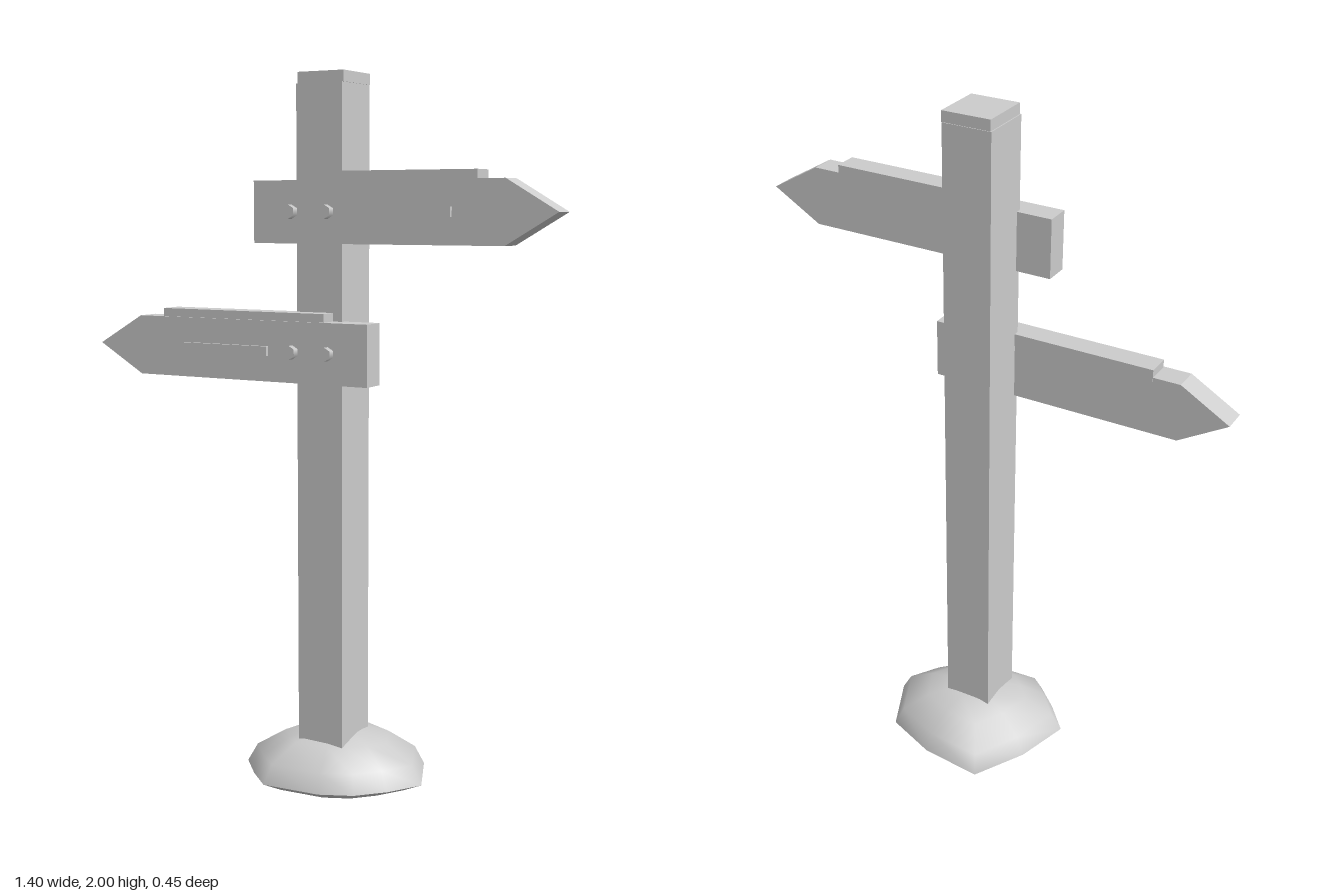
import * as THREE from 'three';

const grey = new THREE.MeshStandardMaterial({ color: 0xcccccc });
grey.name = 'plain grey';

function part(name, geometry, parent) {
  const mesh = new THREE.Mesh(geometry, grey);
  mesh.name = name;
  parent.add(mesh);
  return mesh;
}

// Box given by its minimum and maximum corners
function box(name, x0, x1, y0, y1, z0, z1, parent) {
  const mesh = part(name, new THREE.BoxGeometry(Math.abs(x1 - x0), y1 - y0, z1 - z0), parent);
  mesh.position.set((x0 + x1) / 2, (y0 + y1) / 2, (z0 + z1) / 2);
  return mesh;
}

// Irregular outline of the foot stone, x and z, seen from above
const OUTLINE = [
  [-0.13, -0.228], [0.05, -0.21], [0.2, -0.15], [0.27, 0.01], [0.21, 0.1],
  [0.14, 0.17], [0.05, 0.21], [-0.12, 0.222], [-0.19, 0.16], [-0.262, 0.08], [-0.215, -0.08],
];

// Rings of the outline, [scale, height], closed by a point at the last height
function stoneShell(rings, endY, upward) {
  const n = OUTLINE.length;
  const positions = [];
  const index = [];
  for (const [s, y] of rings) for (const [x, z] of OUTLINE) positions.push(x * s, y, z * s);
  positions.push(0, endY, 0);
  const tri = (a, b, c) => (upward ? index.push(a, c, b) : index.push(a, b, c));
  for (let r = 0; r < rings.length; r++) {
    for (let i = 0; i < n; i++) {
      const a = r * n + i;
      const b = r * n + ((i + 1) % n);
      if (r === rings.length - 1) tri(a, b, rings.length * n);
      else {
        tri(a, b, b + n);
        tri(a, b + n, a + n);
      }
    }
  }
  const geometry = new THREE.BufferGeometry();
  geometry.setAttribute('position', new THREE.Float32BufferAttribute(positions, 3));
  geometry.setIndex(index);
  geometry.computeVertexNormals();
  return geometry;
}

// Pointed board; dir is +1 or -1 for the side it points to
function makeSign(name, dir, midY) {
  const sign = new THREE.Group();
  sign.name = name;
  sign.position.y = midY;

  const outline = [[-0.174, -0.084], [0.56, -0.084], [0.702, 0], [0.56, 0.083], [-0.174, 0.083]];
  const shape = new THREE.Shape(outline.map(([x, y]) => new THREE.Vector2(x * dir, y)));
  const board = new THREE.ExtrudeGeometry(shape, { depth: 0.071, bevelEnabled: false });
  part('board', board.translate(0, 0, 0.09), sign);

  // Raised strip along the top edge
  box('topStrip', -0.04 * dir, 0.482 * dir, 0.07, 0.106, 0.088, 0.156, sign);

  // Carved mark in two lengths
  box('longMark', 0.133 * dir, 0.355 * dir, -0.013, 0.013, 0.155, 0.171, sign);
  box('shortMark', 0.355 * dir, 0.415 * dir, -0.013, 0.013, 0.155, 0.171, sign);

  // Hexagonal bolts
  for (const x of [-0.055, 0.055]) {
    const bolt = new THREE.CylinderGeometry(0.019, 0.019, 0.025, 6).rotateX(Math.PI / 2);
    part('bolt', bolt, sign).position.set(x, 0, 0.1685);
  }
  return sign;
}

export function createModel() {
  const model = new THREE.Group();
  model.name = 'signpost';

  // Stone foot: smooth dome with a crisp rim and a shallow underside
  const foot = new THREE.Group();
  foot.name = 'stoneFoot';
  part('dome', stoneShell([[1, 0.037], [0.89, 0.09], [0.58, 0.14], [0.28, 0.16]], 0.163, true), foot);
  part('underside', stoneShell([[1, 0.037], [0.78, 0.01]], 0.006, false), foot);
  model.add(foot);

  // Post with a slightly offset cap
  box('post', -0.073, 0.068, 0.004, 1.97, -0.048, 0.105, model);
  box('postCap', -0.07, 0.07, 1.97, 2, -0.046, 0.102, model);

  model.add(makeSign('upperSign', 1, 1.631));
  model.add(makeSign('lowerSign', -1, 1.255));
  return model;
}
